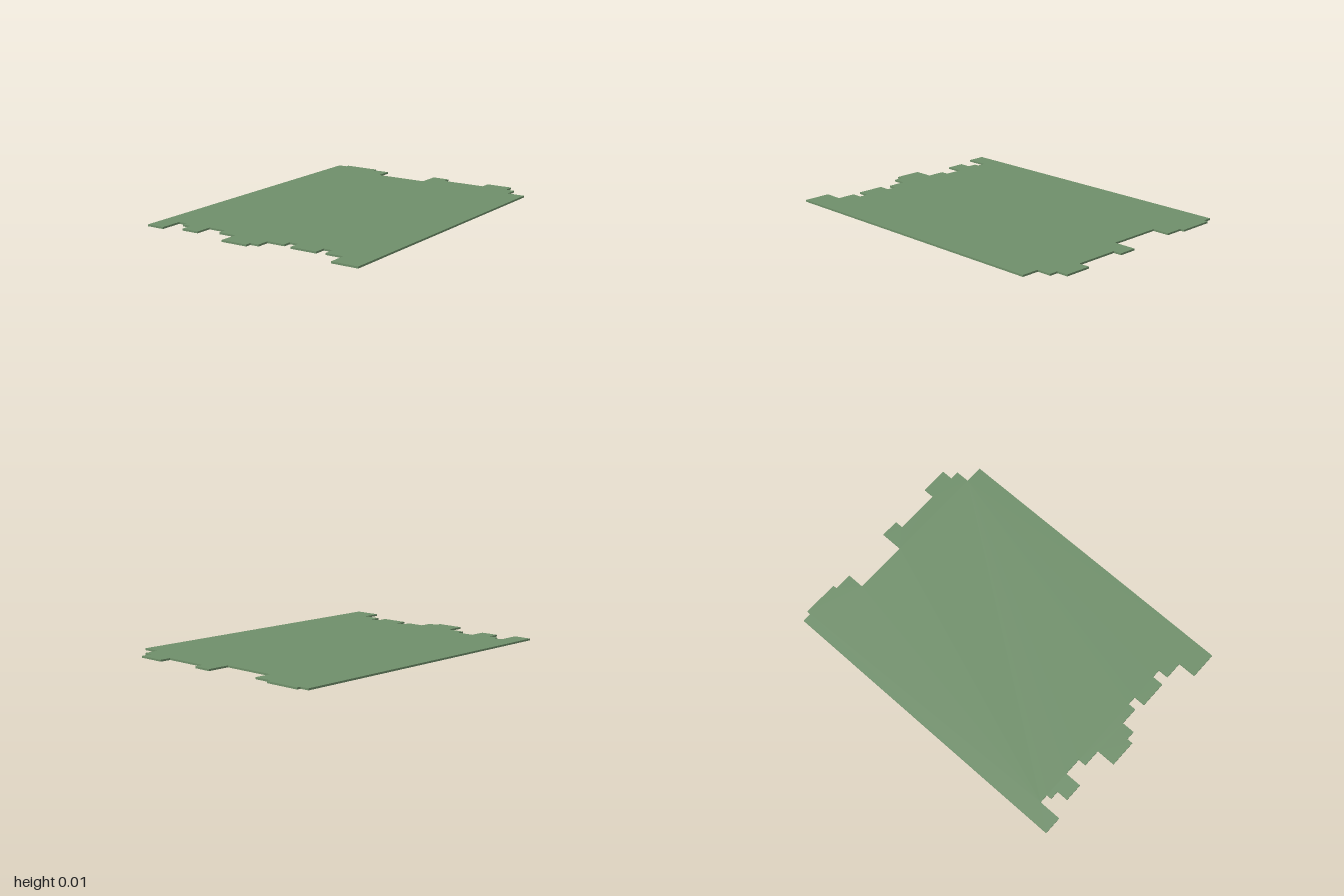
import * as THREE from 'three';

const CELL = 1 / 18; // the stepped edges follow a regular column grid
const HALF = 13; // columns on each side of the centre
const THICKNESS = 0.011;

// Each step: [column where it ends, z of the edge], from -x to +x
const backSteps = [
  [-12, -0.95], [-8, -0.975], [-6, -0.95], [0, -0.845], [2, -0.983],
  [7, -0.932], [10, -1], [11, -0.932], [13, -0.845],
];
const frontSteps = [
  [-11, 0.963], [-10, 0.824], [-9, 0.856], [-7, 0.927], [-5, 0.824],
  [-3, 0.873], [0, 0.99], [1, 0.953], [3, 0.873], [4, 0.824],
  [7, 0.894], [8, 0.824], [10, 0.888], [13, 1],
];

// Corner points of one stepped edge
function steppedEdge(steps) {
  const points = [];
  let start = -HALF;
  for (const [end, z] of steps) {
    points.push(new THREE.Vector2(start * CELL, -z), new THREE.Vector2(end * CELL, -z));
    start = end;
  }
  return points;
}

export function createModel() {
  const group = new THREE.Group();
  group.name = 'steppedPanel';

  // Thin flat slab with straight sides and stepped front and back edges
  const outline = new THREE.Shape([...steppedEdge(frontSteps), ...steppedEdge(backSteps).reverse()]);
  const geometry = new THREE.ExtrudeGeometry(outline, { depth: THICKNESS, bevelEnabled: false });
  geometry.rotateX(-Math.PI / 2);

  const slab = new THREE.Mesh(geometry, new THREE.MeshStandardMaterial({ color: 0x6f8f6a }));
  slab.name = 'slab';
  group.add(slab);
  return group;
}
